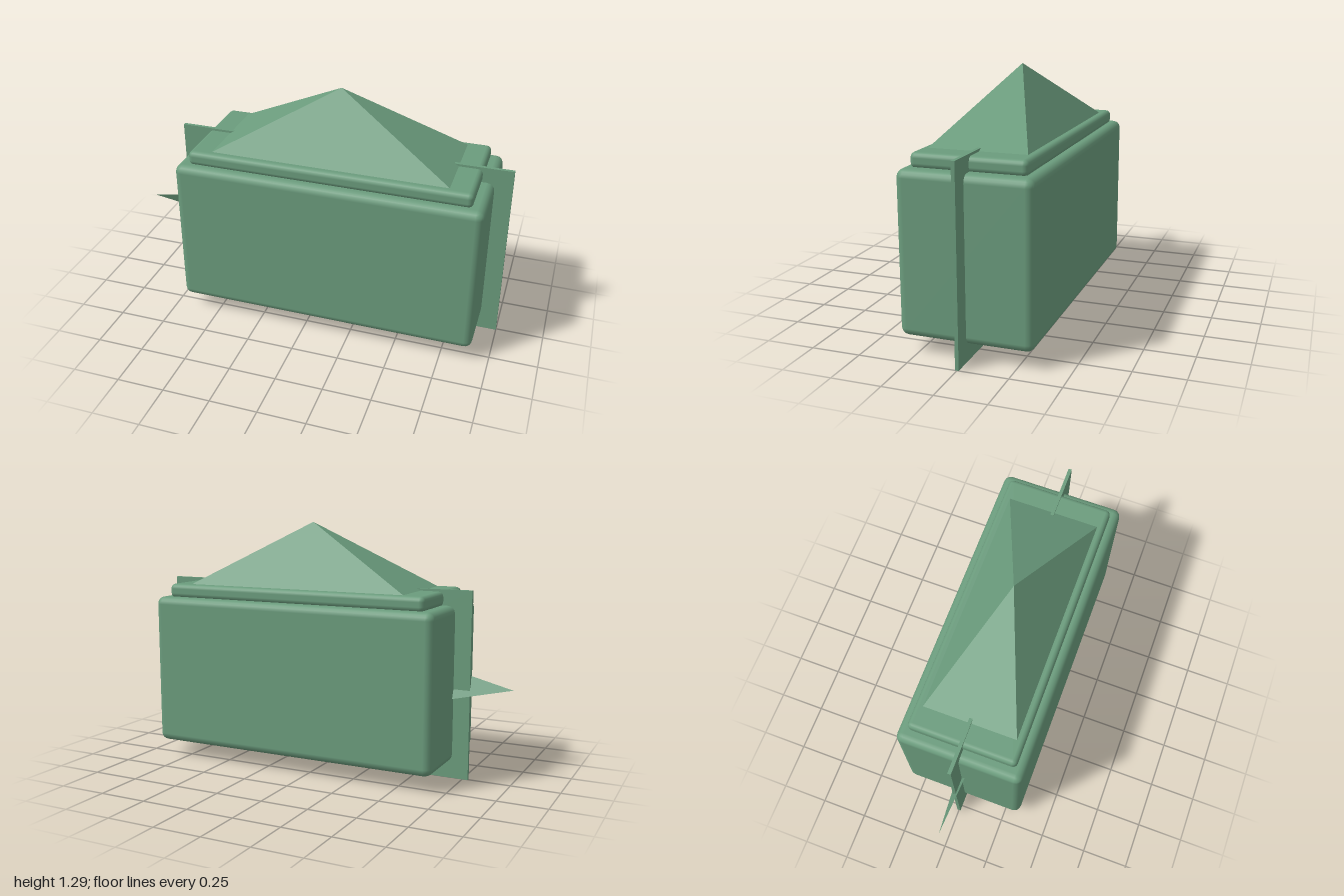
import * as THREE from 'three';
import { RoundedBoxGeometry } from 'three/addons/geometries/RoundedBoxGeometry.js';

export function createModel() {
  const model = new THREE.Group();
  const green = new THREE.MeshStandardMaterial({ color: 0x6b9c7d, side: THREE.DoubleSide });
  green.name = 'sage green';
  const cx = 0.108; // the body sits off centre because of the side spike

  function add(name, geometry, x, y, z) {
    const mesh = new THREE.Mesh(geometry, green);
    mesh.name = name;
    mesh.position.set(x, y, z);
    model.add(mesh);
    return mesh;
  }

  // Rounded main block and the narrower lid on top of it
  add('body', new RoundedBoxGeometry(1.604, 0.804, 0.666, 2, 0.04), cx, 0.487, 0);
  add('lid', new RoundedBoxGeometry(1.476, 0.076, 0.572, 2, 0.026), cx, 0.92, 0);

  // Four-sided pyramid roof
  const roof = new THREE.ConeGeometry(Math.SQRT1_2, 1, 4, 1).toNonIndexed();
  roof.rotateY(Math.PI / 4);
  roof.scale(1.28, 0.35, 0.51);
  roof.computeVertexNormals();
  add('roof', roof, cx, 1.12, 0);

  // Thin upright panel passing through the body
  add('panel', new THREE.BoxGeometry(1.78, 0.97, 0.018), cx + 0.002, 0.485, 0);

  // Flat spike on the side, leaning so its upper half shows in front of the panel
  const outline = new THREE.Shape([
    new THREE.Vector2(0, 0), new THREE.Vector2(0.34, -0.082), new THREE.Vector2(0.34, 0.082),
  ]);
  const spike = add('spike', new THREE.ShapeGeometry(outline), -1, 0.487, 0);
  spike.rotation.x = 0.4;

  return model;
}
